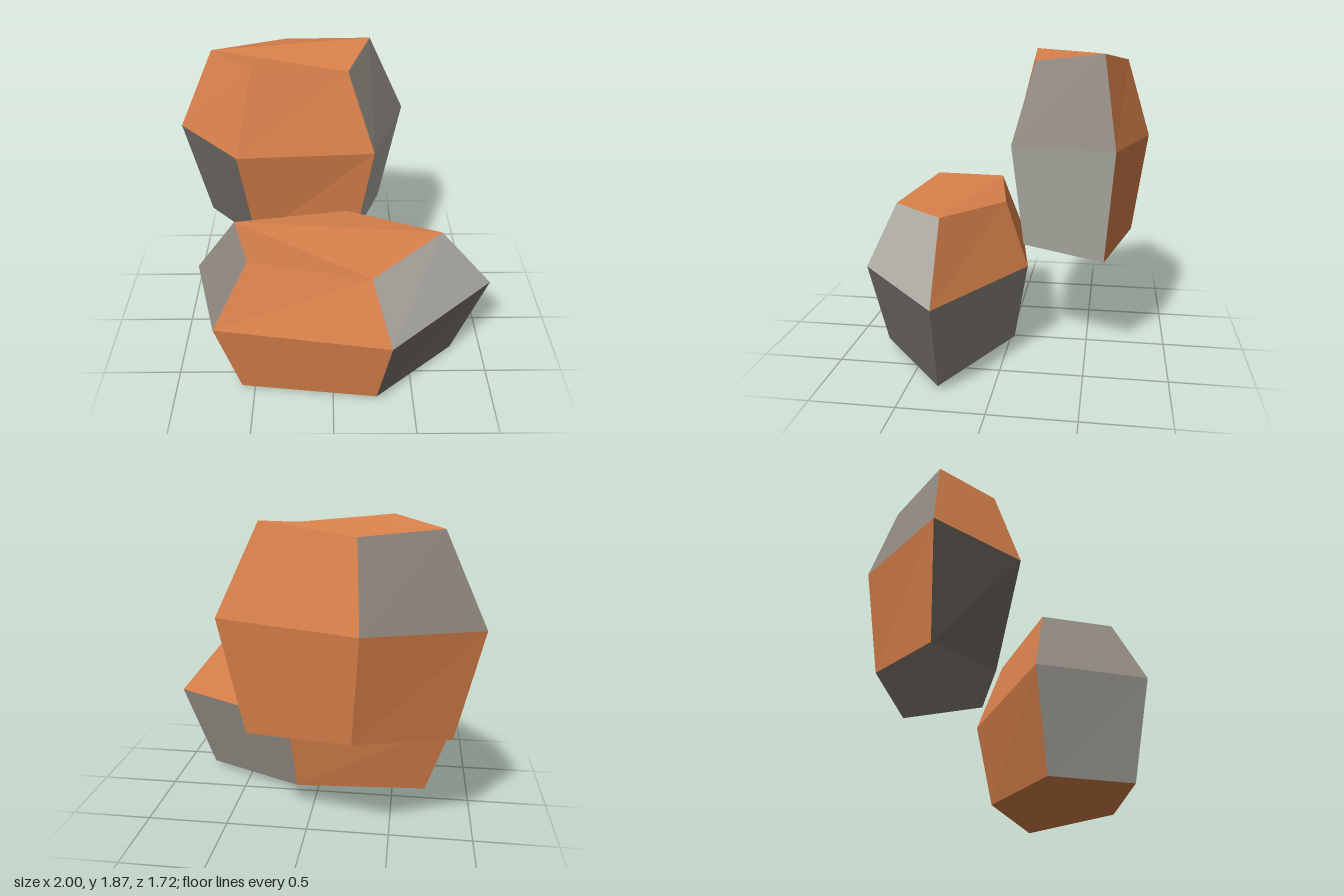
import * as THREE from 'three';

const makeMaterial = (name, color) => {
  const m = new THREE.MeshStandardMaterial({ color });
  m.name = name;
  return m;
};

// Faceted stone lofted through five-cornered rings, listed bottom to top.
// Each band has one material index per side; caps = [bottom, top].
function makeRock(name, rings, bands, caps, materials) {
  const positions = [];
  const geometry = new THREE.BufferGeometry();
  const addFace = (corners, material) => {
    const start = positions.length / 3;
    for (let i = 1; i < corners.length - 1; i++) {
      positions.push(...corners[0], ...corners[i], ...corners[i + 1]);
    }
    geometry.addGroup(start, positions.length / 3 - start, material);
  };
  bands.forEach((band, r) => band.forEach((material, i) => {
    const j = (i + 1) % band.length;
    addFace([rings[r][i], rings[r][j], rings[r + 1][j], rings[r + 1][i]], material);
  }));
  addFace([...rings[0]].reverse(), caps[0]);
  addFace(rings[rings.length - 1], caps[1]);
  geometry.setAttribute('position', new THREE.Float32BufferAttribute(positions, 3));
  geometry.computeVertexNormals();
  const mesh = new THREE.Mesh(geometry, materials);
  mesh.name = name;
  return mesh;
}

export function createModel() {
  const group = new THREE.Group();
  group.name = 'stackedRocks';
  const materials = [
    makeMaterial('orange stone', 0xd9814b),
    makeMaterial('light grey stone', 0xb0aea6),
    makeMaterial('mid grey stone', 0x918a82),
    makeMaterial('dark grey stone', 0x716b65),
  ];
  const [ORANGE, LIGHT, MID, DARK] = [0, 1, 2, 3];

  // Corners run right, front right, front left, left, back
  group.add(makeRock('lowerRock', [
    [[-0.72, 0, 0.13], [-0.58, 0.02, 0.63], [0.27, 0.055, 0.76], [0.79, 0.03, 0.31], [0.13, 0.055, -0.04]],
    [[-0.89, 0.53, 0.05], [-0.71, 0.57, 0.70], [0.34, 0.565, 0.86], [1, 0.58, 0.29], [0.18, 0.56, -0.13]],
    [[-0.61, 0.96, 0.15], [-0.49, 0.995, 0.59], [0.22, 0.95, 0.69], [0.66, 0.99, 0.31], [0.09, 0.95, 0.02]],
  ], [
    [LIGHT, ORANGE, DARK, MID, ORANGE],
    [MID, ORANGE, LIGHT, ORANGE, ORANGE],
  ], [ORANGE, ORANGE], materials));

  group.add(makeRock('upperRock', [
    [[-0.85, 0.635, -0.48], [-0.51, 0.655, -0.1], [0.16, 0.695, -0.1], [0.335, 0.66, -0.6], [-0.29, 0.695, -0.77]],
    [[-1, 1.29, -0.5], [-0.58, 1.345, 0.035], [0.26, 1.335, -0.035], [0.475, 1.35, -0.65], [-0.33, 1.325, -0.86]],
    [[-0.75, 1.83, -0.47], [-0.47, 1.87, -0.11], [0.095, 1.82, -0.16], [0.24, 1.87, -0.57], [-0.3, 1.81, -0.71]],
  ], [
    [DARK, ORANGE, LIGHT, ORANGE, ORANGE],
    [ORANGE, ORANGE, MID, ORANGE, MID],
  ], [MID, ORANGE], materials));

  return group;
}
